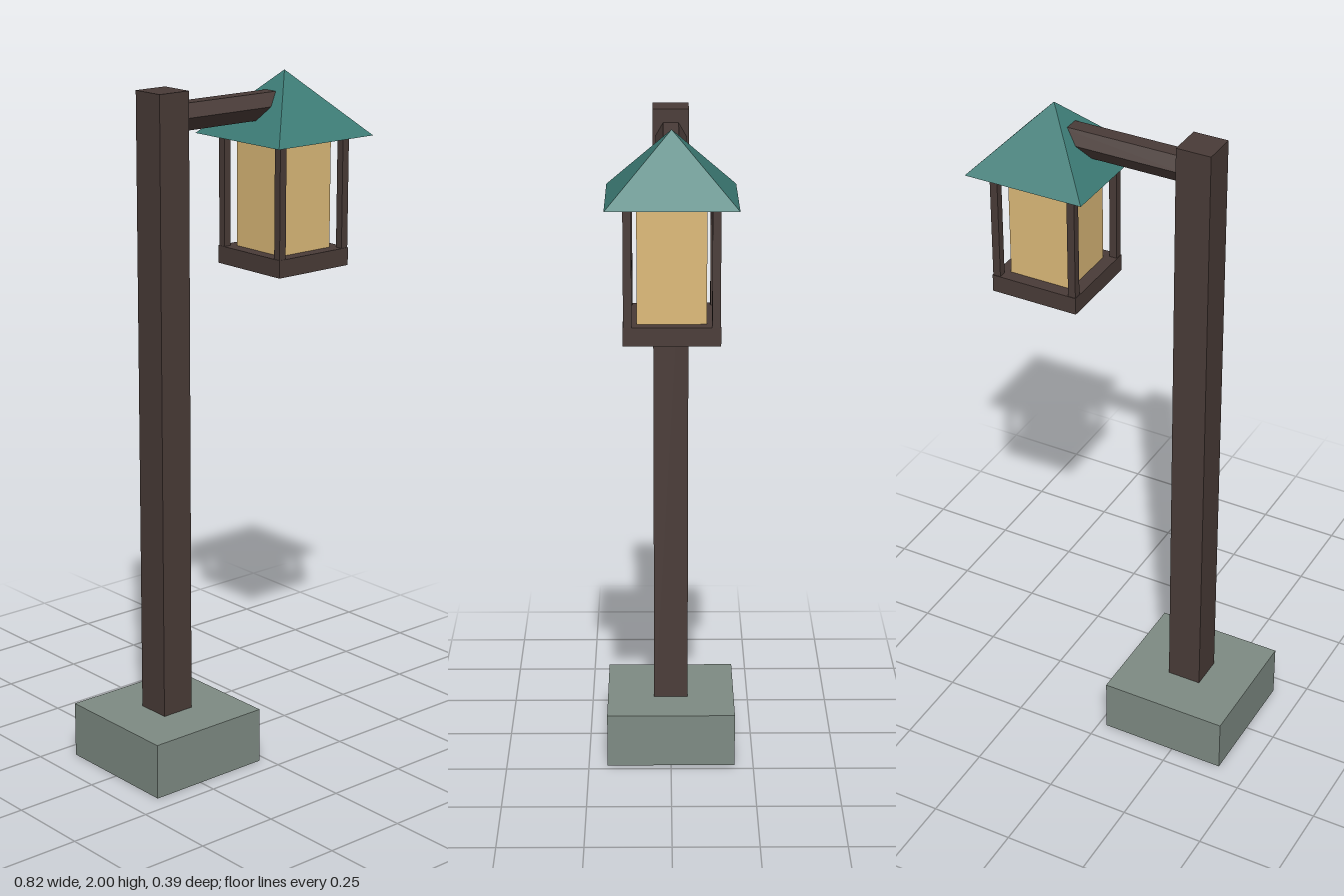
import * as THREE from 'three';

export function createModel() {
  const model = new THREE.Group();
  model.name = 'lampPost';

  const mat = (color, extra = {}) =>
    new THREE.MeshStandardMaterial({ color, flatShading: true, ...extra });
  const stone = mat(0x7f8c84);
  const wood = mat(0x4a3c38);
  const glow = mat(0xdfbc7a);
  const teal = mat(0x3c7b75, { side: THREE.DoubleSide });

  const add = (parent, name, geometry, material, x, y, z) => {
    const mesh = new THREE.Mesh(geometry, material);
    mesh.name = name;
    mesh.position.set(x, y, z);
    parent.add(mesh);
    return mesh;
  };
  // Square block standing on y0 and reaching y1
  const block = (parent, name, width, y0, y1, material, x, z = 0) =>
    add(parent, name, new THREE.BoxGeometry(width, y1 - y0, width), material, x, (y0 + y1) / 2, z);

  // Footing and pole
  const poleX = -0.217;
  block(model, 'footing', 0.387, 0, 0.165, stone, poleX);
  block(model, 'pole', 0.103, 0.1, 1.985, wood, poleX);

  // Hexagonal arm with flat top, running from the pole into the roof
  const armStart = poleX, armEnd = 0.24;
  const arm = new THREE.CylinderGeometry(0.044, 0.044, armEnd - armStart, 6).rotateZ(Math.PI / 2);
  add(model, 'arm', arm, wood, (armStart + armEnd) / 2, 1.908, 0);

  // Lantern hanging from the arm
  const lantern = new THREE.Group();
  lantern.name = 'lantern';
  lantern.position.x = 0.23;
  model.add(lantern);

  block(lantern, 'lanternTray', 0.266, 1.435, 1.487, wood, 0);
  block(lantern, 'lanternGlass', 0.19, 1.48, 1.805, glow, 0);
  for (const sx of [-1, 1])
    for (const sz of [-1, 1])
      block(lantern, 'lanternPost', 0.023, 1.48, 1.84, wood, sx * 0.12, sz * 0.12);

  // Four-sided roof, open underneath
  const roof = new THREE.ConeGeometry(0.18 * Math.SQRT2, 0.185, 4, 1, true, Math.PI / 4);
  add(lantern, 'lanternRoof', roof, teal, 0, 1.9075, 0);

  return model;
}
